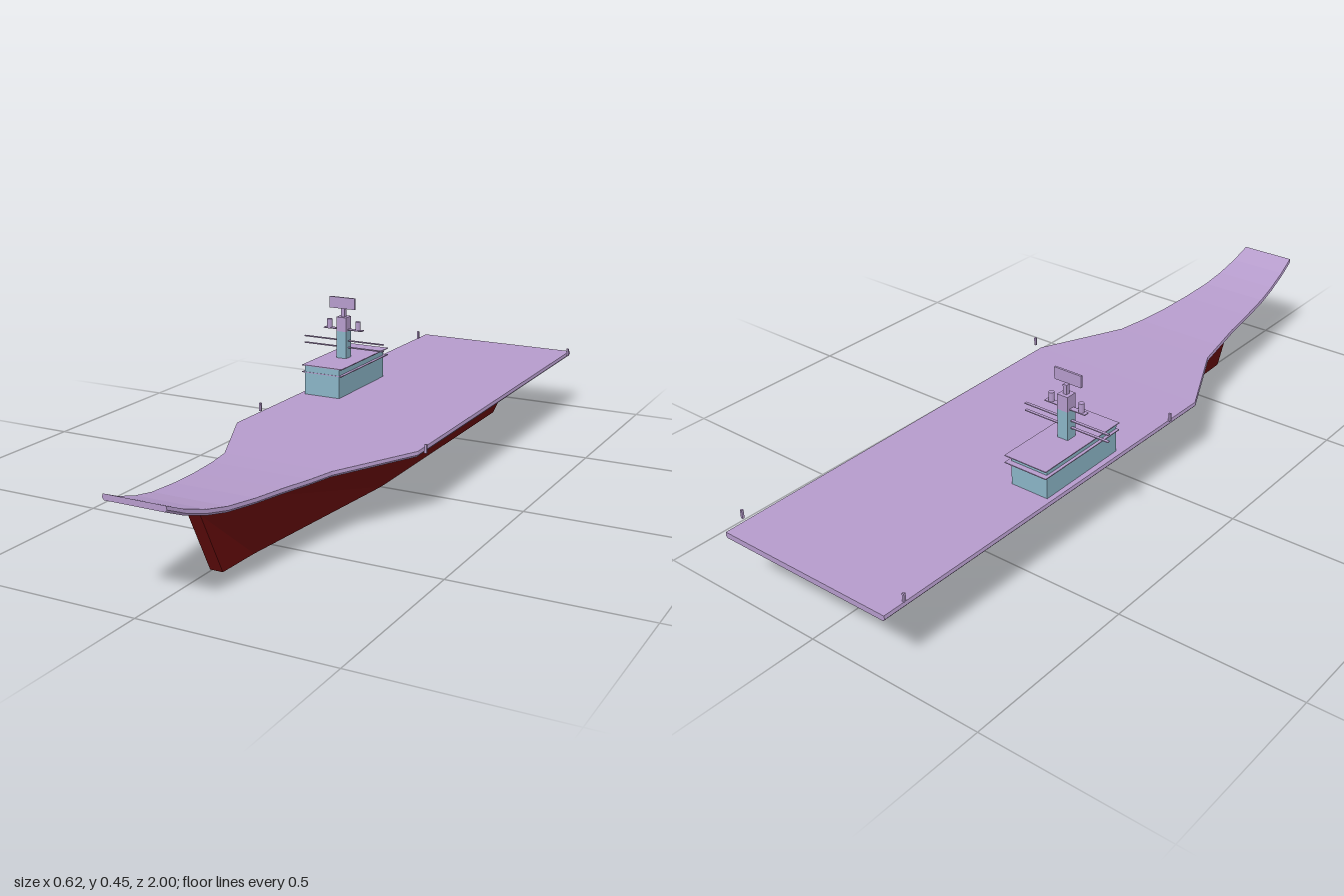
import * as THREE from 'three';

const material = (name, color) => new THREE.MeshStandardMaterial({ name, color });

// Skin a closed solid over rings listed from stern to bow, flat shaded.
function loft(rings) {
  const pos = [];
  const tri = (a, b, c) => pos.push(...a, ...b, ...c);
  const n = rings[0].length;
  for (let i = 0; i < rings.length - 1; i++) {
    const a = rings[i], b = rings[i + 1];
    for (let j = 0; j < n; j++) {
      const k = (j + 1) % n;
      tri(a[j], a[k], b[k]);
      tri(a[j], b[k], b[j]);
    }
  }
  const back = rings[0], front = rings[rings.length - 1];
  for (let j = 1; j < n - 1; j++) {
    tri(back[0], back[j + 1], back[j]);
    tri(front[0], front[j], front[j + 1]);
  }
  const geo = new THREE.BufferGeometry();
  geo.setAttribute('position', new THREE.Float32BufferAttribute(pos, 3));
  geo.computeVertexNormals();
  return geo;
}

export function createModel() {
  const ship = new THREE.Group();
  ship.name = 'aircraftCarrier';
  const lilac = material('lilac', 0xb59bcb);
  const teal = material('teal', 0x8ab4c6);
  const red = material('darkRed', 0x680c0c);
  const cx = 0.0125; // centre line of hull and deck

  const add = (parent, name, geo, mat, x = 0, y = 0, z = 0) => {
    const mesh = new THREE.Mesh(geo, mat);
    mesh.name = name;
    mesh.position.set(x, y, z);
    parent.add(mesh);
    return mesh;
  };
  // Box given by its centre in x and z, and its bottom and top heights
  const box = (parent, name, mat, x, z, w, d, y0, y1) =>
    add(parent, name, new THREE.BoxGeometry(w, y1 - y0, d), mat, x, (y0 + y1) / 2, z);

  // Hull: [bottom z, bottom half width, top z, top half width]
  const hullSections = [
    [-0.81, 0.073, -0.86, 0.138],
    [0, 0.0755, 0, 0.1445],
    [0.57, 0.022, 0.64, 0.05],
    [0.70, 0.0175, 0.785, 0.0175],
  ];
  add(ship, 'hull', loft(hullSections.map(([zb, wb, zt, wt]) => [
    [cx - wb, 0, zb], [cx + wb, 0, zb],
    [cx + wt, 0.169, zt], [cx - wt, 0.169, zt],
  ])), red);

  // Flight deck with ski-jump ramp: [z, half width, top y]
  const deckSections = [
    [-1, 0.258, 0.182],
    [0.18, 0.27, 0.182],
    [0.42, 0.155, 0.183],
    [0.5, 0.14, 0.185],
    [0.6, 0.1235, 0.191],
    [0.7, 0.113, 0.198],
    [0.8, 0.103, 0.209],
    [0.87, 0.096, 0.224],
    [0.94, 0.089, 0.246],
    [1, 0.083, 0.272],
  ];
  add(ship, 'flightDeck', loft(deckSections.map(([z, w, y]) => [
    [cx - w + 0.005, y - 0.015, z], [cx + w - 0.005, y - 0.015, z],
    [cx + w, y - 0.009, z], [cx + w - 0.002, y, z],
    [cx - w + 0.002, y, z], [cx - w, y - 0.009, z],
  ])), lilac);

  // Island superstructure
  const island = new THREE.Group();
  island.name = 'island';
  ship.add(island);
  const ix = -0.18, iz = -0.295, mz = -0.288;
  box(island, 'islandBlock', teal, ix, iz, 0.111, 0.28, 0.181, 0.267);
  for (const y of [0.247, 0.267])
    box(island, 'walkway', lilac, ix, -0.302, 0.128, 0.296, y - 0.001, y + 0.0015);

  // Mast, yards and radar
  box(island, 'mastLower', teal, ix, mz, 0.032, 0.032, 0.268, 0.348);
  box(island, 'mastUpper', lilac, ix, mz, 0.032, 0.032, 0.348, 0.39);
  box(island, 'radarPost', lilac, ix, mz, 0.012, 0.012, 0.39, 0.416);
  box(island, 'radarPanel', lilac, ix, -0.28, 0.082, 0.006, 0.415, 0.448);
  for (const y of [0.299, 0.319])
    box(island, 'yard', lilac, ix, mz, 0.26, 0.008, y - 0.0013, y + 0.0013);
  box(island, 'sensorPlatform', lilac, ix, mz, 0.125, 0.016, 0.3515, 0.354);
  for (const side of [-1, 1])
    add(island, 'sensorDrum', new THREE.CylinderGeometry(0.0075, 0.0075, 0.028, 12), lilac,
      ix + side * 0.0465, 0.365, mz);

  // Small posts along the deck edges
  for (const [x, z] of [[-0.243, -0.937], [0.283, -0.937], [-0.258, 0.055], [0.304, 0.183]])
    box(ship, 'deckPost', lilac, x, z, 0.006, 0.006, 0.182, 0.205);

  return ship;
}
